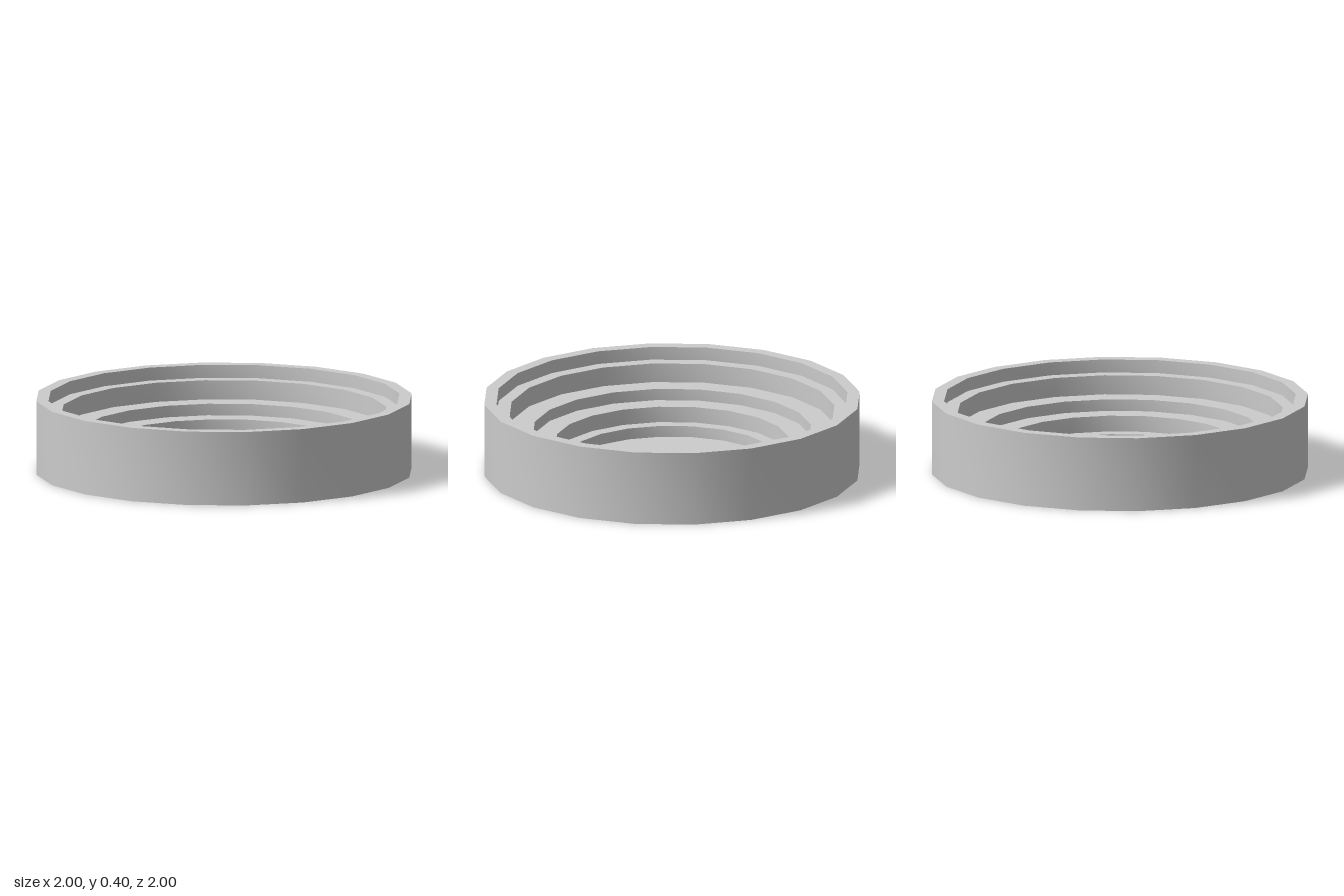
import * as THREE from 'three';
import { toCreasedNormals } from 'three/addons/utils/BufferGeometryUtils.js';

const SIDES = 20;
const HEIGHT = 0.395;

// Each step: radius of its wall and the height its wall drops to
const STEPS = [
  [0.935, 0.325],
  [0.865, 0.222],
  [0.74, 0.16],
  [0.62, 0.075],
  [0.55, 0.015],
];

export function createModel() {
  const group = new THREE.Group();
  group.name = 'steppedBowl';

  // Underside, outer wall, then rim, terraces and floor
  const profile = [[0, 0], [1, 0], [1, HEIGHT]];
  let level = HEIGHT;
  for (const [radius, bottom] of STEPS) {
    profile.push([radius, level], [radius, bottom]);
    level = bottom;
  }
  profile.push([0, level]);

  const points = profile.map(([r, y]) => new THREE.Vector2(r, y));
  const geometry = toCreasedNormals(new THREE.LatheGeometry(points, SIDES), 0.5);
  const bowl = new THREE.Mesh(geometry, new THREE.MeshStandardMaterial({ color: 0xcccccc }));
  bowl.name = 'bowl';
  group.add(bowl);
  return group;
}
